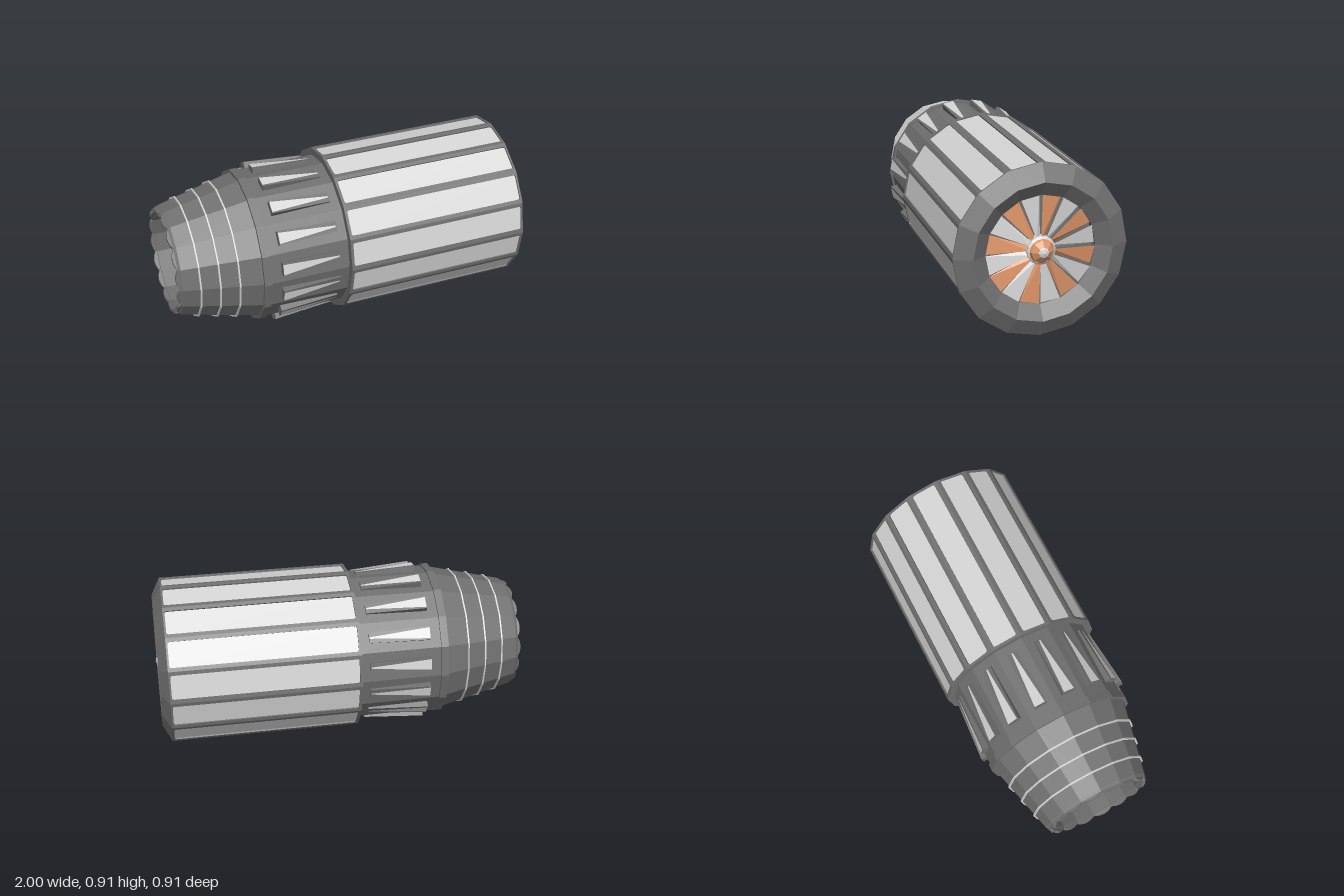
import * as THREE from 'three';

const SIDES = 16;
const STEP = (Math.PI * 2) / SIDES;
const AXIS_Y = 0.457;

function material(name, color) {
  const m = new THREE.MeshStandardMaterial({ color, flatShading: true, side: THREE.DoubleSide });
  m.name = name;
  return m;
}

export function createModel() {
  const dark = material('dark grey metal', 0x707070);
  const light = material('light grey metal', 0xd6d6d6);
  const orange = material('copper orange', 0xde9468);

  const model = new THREE.Group();
  model.name = 'turbineEngine';
  const engine = new THREE.Group();
  engine.name = 'engine';
  engine.position.y = AXIS_Y;
  model.add(engine);

  const add = (parent, name, geometry, mat) => {
    const mesh = new THREE.Mesh(geometry, mat);
    mesh.name = name;
    parent.add(mesh);
    return mesh;
  };

  // Turned part about the x axis; the profile is a list of [x, radius]
  const turned = (name, profile, mat, sides = SIDES) => {
    const pts = profile.map(([x, r]) => new THREE.Vector2(r, x));
    const geometry = new THREE.LatheGeometry(pts, sides);
    geometry.rotateZ(-Math.PI / 2);
    return add(engine, name, geometry, mat);
  };

  // Point at distance x along the axis, radius r and angle a from the top
  const polar = (x, r, a) => [x, r * Math.cos(a), -r * Math.sin(a)];

  const surface = (points, index) => {
    const g = new THREE.BufferGeometry();
    g.setAttribute('position', new THREE.Float32BufferAttribute(points.flat(), 3));
    g.setIndex(index);
    g.computeVertexNormals();
    return g;
  };

  // Hollow tail, neck and core
  turned('tailAndNeck', [
    [-0.65, 0.0], [-0.65, 0.29], [-0.975, 0.27], [-0.985, 0.295], [-0.97, 0.306],
    [-0.56, 0.405], [-0.56, 0.423], [-0.52, 0.423], [-0.52, 0.413], [-0.08, 0.415],
    [-0.08, 0.44], [0.94, 0.44],
  ], dark);

  // Intake lip, funnel and the wall behind the fan
  turned('intakeLip', [
    [0.945, 0.457], [0.992, 0.365], [0.942, 0.288], [0.9, 0.288], [0.9, 0],
  ], dark);

  // Plug inside the exhaust
  turned('exhaustPlug', [[-0.86, 0], [-0.84, 0.07], [-0.77, 0.13], [-0.65, 0.15]], dark);

  // Raised hoops on the tapered tail
  for (const x of [-0.88, -0.78, -0.68]) {
    const r = 0.306 + ((x + 0.97) / 0.41) * 0.099;
    turned('tailHoop', [
      [x - 0.005, r - 0.005], [x - 0.005, r + 0.009], [x + 0.003, r + 0.009], [x + 0.003, r - 0.005],
    ], light);
  }

  // Frame with a rounded window for each side of the main body
  const half = AXIS_Y * Math.sin(STEP / 2);
  const apothem = AXIS_Y * Math.cos(STEP / 2);
  const frame = new THREE.Shape();
  frame.moveTo(-0.08, -half);
  frame.lineTo(0.945, -half);
  frame.lineTo(0.945, half);
  frame.lineTo(-0.08, half);
  frame.closePath();
  const [x0, x1, w, c] = [-0.065, 0.935, 0.068, 0.012];
  const opening = new THREE.Path();
  opening.moveTo(x0 + c, -w);
  opening.lineTo(x1 - c, -w);
  opening.quadraticCurveTo(x1, -w, x1, -w + c);
  opening.lineTo(x1, w - c);
  opening.quadraticCurveTo(x1, w, x1 - c, w);
  opening.lineTo(x0 + c, w);
  opening.quadraticCurveTo(x0, w, x0, w - c);
  opening.lineTo(x0, -w + c);
  opening.quadraticCurveTo(x0, -w, x0 + c, -w);
  frame.holes.push(opening);
  const frameGeo = new THREE.ExtrudeGeometry(frame, { depth: 0.02, bevelEnabled: false, curveSegments: 3 });
  frameGeo.translate(0, 0, apothem - 0.02);

  const panelGeo = new THREE.BoxGeometry(1.006, 0.142, 0.006);
  panelGeo.translate(0.435, 0, apothem - 0.011);

  // Wedge-shaped vent, raised at its rear end
  const ventGeo = new THREE.BoxGeometry(0.33, 0.074, 0.04);
  const p = ventGeo.attributes.position;
  for (let i = 0; i < p.count; i++) {
    const rear = p.getX(i) < 0;
    const z = p.getZ(i) > 0 ? (rear ? 0.44 : 0.417) : 0.39;
    p.setXYZ(i, rear ? -0.46 : -0.13, p.getY(i) * (rear ? 1 : 0.75), z);
  }
  const ventFaceGeo = surface([
    [-0.458, -0.03, 0.442], [-0.135, -0.004, 0.4195], [-0.135, 0.004, 0.4195], [-0.458, 0.03, 0.442],
  ], [0, 1, 2, 0, 2, 3]);

  // Rounded petal on the exhaust rim
  const petal = new THREE.Shape();
  petal.moveTo(-0.965, 0.056);
  petal.lineTo(-0.98, 0.056);
  petal.quadraticCurveTo(-0.998, 0.04, -1, 0);
  petal.quadraticCurveTo(-0.998, -0.04, -0.98, -0.056);
  petal.lineTo(-0.965, -0.056);
  petal.closePath();
  const petalGeo = new THREE.ExtrudeGeometry(petal, { depth: 0.02, bevelEnabled: false, curveSegments: 4 });
  petalGeo.translate(0, 0, 0.27);

  for (let k = 0; k < SIDES; k++) {
    const side = new THREE.Group();
    side.name = 'bodySide';
    side.rotation.x = (k + 0.5) * STEP;
    engine.add(side);
    add(side, 'bodyFrame', frameGeo, dark);
    add(side, 'bodyPanel', panelGeo, light);
    add(side, 'vent', ventGeo, dark);
    add(side, 'ventFace', ventFaceGeo, light);
    add(side, 'exhaustPetal', petalGeo, dark);
  }

  // Pitched fan blades in alternating colours
  for (let k = 0; k < SIDES; k++) {
    const a = k * STEP + 0.02;
    const b = (k + 1) * STEP - 0.025;
    add(engine, 'fanBlade', surface([
      polar(0.942, 0.06, a), polar(0.942, 0.289, a), polar(0.928, 0.289, b), polar(0.928, 0.06, b),
    ], [0, 2, 1, 0, 3, 2]), k % 2 ? light : orange);
  }

  // Spinner in the middle of the fan
  turned('spinnerRing', [[0.91, 0.075], [0.95, 0.075], [0.958, 0.064]], light);
  turned('spinnerCone', [[0.95, 0.067], [0.968, 0.06], [0.988, 0.029]], orange, 8);
  turned('spinnerTip', [[0.986, 0.03], [0.993, 0.024], [1.0, 0]], light, 8);

  return model;
}
